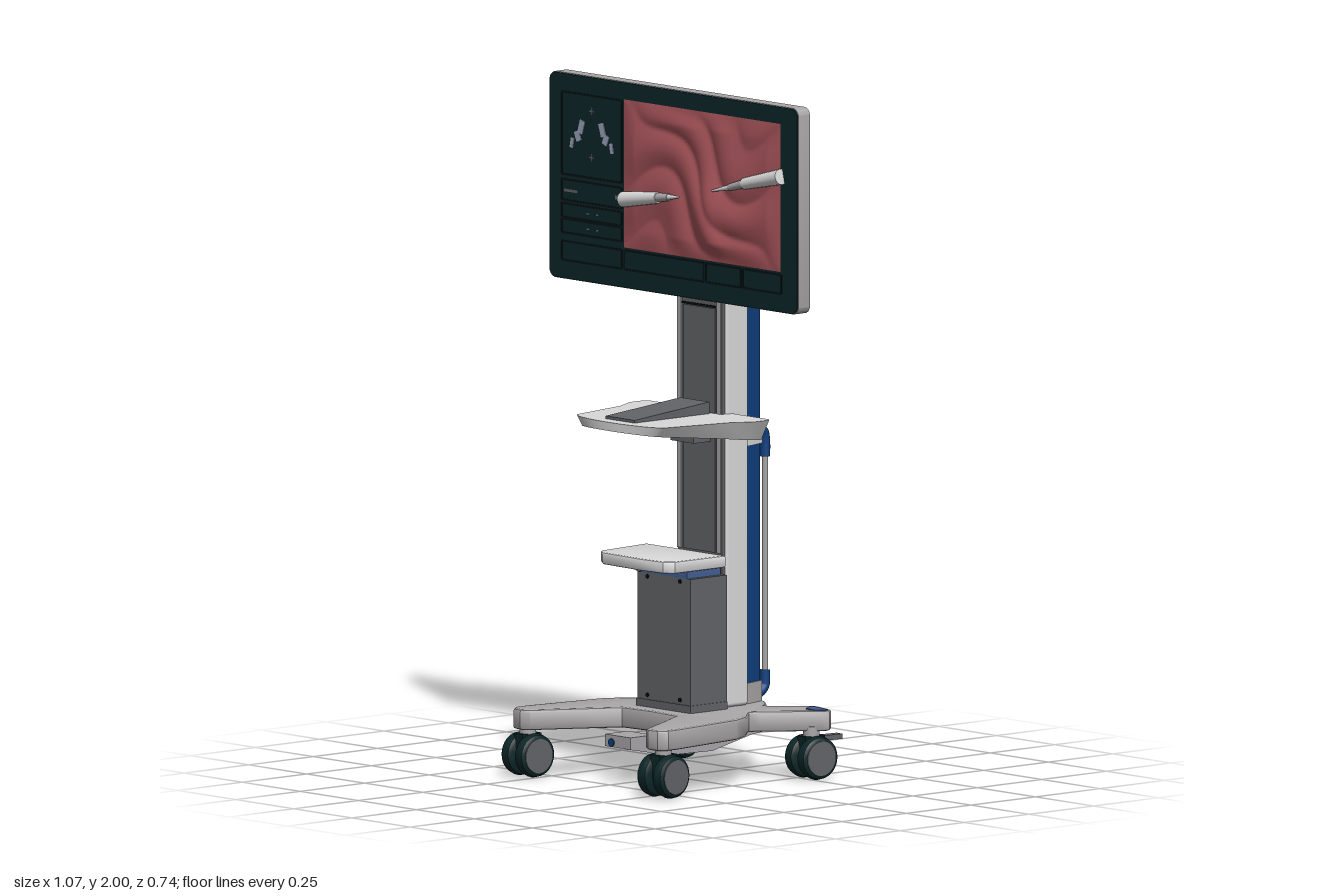
import * as THREE from 'three';
import { toCreasedNormals } from 'three/addons/utils/BufferGeometryUtils.js';
import { RoundedBoxGeometry } from 'three/addons/geometries/RoundedBoxGeometry.js';

const mat = (name, color) => {
  const m = new THREE.MeshStandardMaterial({ color });
  m.name = name;
  return m;
};
const M = {
  light: mat('light grey', 0xdad9da), mid: mat('warm grey', 0xaaa7a9), dark: mat('graphite', 0x626468),
  black: mat('dark teal', 0x0c2628), line: mat('near black', 0x051113), red: mat('tissue red', 0xa9555b),
  blue: mat('deep blue', 0x0f4080), slate: mat('slate blue', 0x445f94), icon: mat('icon grey', 0x9aa2b8),
};

export function createModel() {
  const root = new THREE.Group();
  root.name = 'monitorCart';
  const add = (name, geo, m, x = 0, y = 0, z = 0, parent = root) => {
    const mesh = new THREE.Mesh(geo, m);
    mesh.name = name;
    mesh.position.set(x, y, z);
    parent.add(mesh);
    return mesh;
  };
  // box given by its limits
  const box = (name, m, x0, x1, y0, y1, z0, z1, parent) =>
    add(name, new THREE.BoxGeometry(x1 - x0, y1 - y0, z1 - z0), m, (x0 + x1) / 2, (y0 + y1) / 2, (z0 + z1) / 2, parent);
  const poly = (pts) => new THREE.Shape(pts.map(([a, b]) => new THREE.Vector2(a, b)));
  // plan outline in (x, z), raised from y0 to y1
  const slab = (pts, y0, y1, bevel = 0) => {
    const g = new THREE.ExtrudeGeometry(poly(pts.map(([x, z]) => [x, -z])), {
      depth: y1 - y0 - 2 * bevel, bevelEnabled: bevel > 0, bevelThickness: bevel, bevelSize: bevel, bevelOffset: -bevel, bevelSegments: 2 });
    return toCreasedNormals(g.rotateX(-Math.PI / 2).translate(0, y0 + bevel, 0), 0.5);
  };
  // side outline in (z, y), centred across x
  const sideSlab = (pts, w) => new THREE.ExtrudeGeometry(poly(pts), { depth: w, bevelEnabled: false })
    .translate(0, 0, -w / 2).rotateY(-Math.PI / 2);
  const mirror = (pts) => [...pts, ...pts.slice().reverse().filter(([x]) => x !== 0).map(([x, z]) => [-x, z])];
  const tube = (name, m, r, pts) => add(name, new THREE.TubeGeometry(
    new THREE.CatmullRomCurve3(pts.map(([z, y]) => new THREE.Vector3(0, y, z)), false, 'catmullrom', 0.35), 40, r, 12), m);

  // ---- base
  const half = [[0, 0.09], [0.115, 0.1], [0.18, 0.21], [0.25, 0.335], [0.275, 0.35], [0.31, 0.345], [0.33, 0.32], [0.33, 0.28],
    [0.295, 0.02], [0.265, -0.04], [0.2, -0.11], [0.215, -0.14], [0.325, -0.275], [0.335, -0.3], [0.32, -0.32],
    [0.25, -0.337], [0.23, -0.33], [0.145, -0.235], [0.125, -0.235], [0.085, -0.28], [0.06, -0.297], [0, -0.305]];
  add('base', slab(mirror(half), 0.14, 0.2, 0.008), M.mid);
  add('footBeam', sideSlab([[0.22, 0.14], [0.22, 0.105], [0.07, 0.075], [-0.1, 0.072], [-0.25, 0.105], [-0.3, 0.11],
    [-0.3, 0.125], [-0.24, 0.15], [-0.1, 0.118], [0.07, 0.118], [0.13, 0.14]], 0.11), M.mid);
  add('beamButton', new THREE.CylinderGeometry(0.012, 0.012, 0.006, 16).rotateX(Math.PI / 2), M.blue, -0.025, 0.118, 0.221);

  // ---- casters with twin wheels
  const wheelProfile = [[0, -0.021], [0.05, -0.021], [0.06, -0.015], [0.064, 0], [0.06, 0.015], [0.05, 0.021], [0, 0.021]]
    .map(([r, h]) => new THREE.Vector2(r, h));
  const wheelGeo = toCreasedNormals(new THREE.LatheGeometry(wheelProfile, 32), 0.6).rotateZ(Math.PI / 2);
  for (const s of [-1, 1]) for (const [z, rear] of [[0.305, 0], [-0.268, 1]]) {
    const c = new THREE.Group();
    c.name = rear ? 'rearCaster' : 'frontCaster';
    c.position.set(s * 0.292, 0.064, z);
    c.rotation.y = s * (rear ? -0.12 : 0.06);
    root.add(c);
    for (const k of [-1, 1]) {
      add('wheel', wheelGeo, M.black, k * 0.031, 0, 0, c);
      add('hub', new THREE.CylinderGeometry(0.05, 0.05, 0.006, 28).rotateZ(Math.PI / 2), M.dark, k * 0.051, 0, 0, c);
    }
    box('casterFork', M.black, -0.02, 0.02, -0.01, 0.062, -0.035, 0.035, c);
    add('casterStem', new THREE.CylinderGeometry(0.024, 0.024, 0.05, 20), M.mid, 0, 0.065, 0, c);
    if (rear) {
      box('brakePedal', M.dark, -0.014, 0.014, 0.045, 0.06, -0.1, -0.03, c);
      add('tipPad', slab([[-0.035, -0.035], [0.035, -0.035], [0.04, -0.02], [0.02, 0.005], [-0.02, 0.005], [-0.04, -0.02]], 0.136, 0.139),
        M.slate, 0, 0, 0, c);
    }
  }

  // ---- pedestal and column
  box('pedestal', M.dark, -0.115, 0.115, 0.2, 0.59, -0.1, 0.04);
  box('pedestalFoot', M.dark, -0.118, 0.118, 0.2, 0.222, -0.1, 0.043);
  for (const x of [-0.07, 0.07]) for (const y of [0.235, 0.58])
    add('screw', new THREE.CylinderGeometry(0.006, 0.006, 0.004, 10).rotateX(Math.PI / 2), M.line, x, y, 0.042);
  add('column', new RoundedBoxGeometry(0.2, 1.25, 0.09, 3, 0.012), M.light, 0, 0.825, -0.156);
  box('columnRail', M.dark, -0.095, 0.095, 0.58, 1.4, -0.112, -0.1);
  for (const s of [-1, 1]) box('railEdge', M.mid, s * 0.085 - 0.008, s * 0.085 + 0.008, 0.65, 1.39, -0.1, -0.095);
  box('railPanel', M.dark, -0.068, 0.068, 0.65, 1.36, -0.1, -0.096);
  box('railTopGap', M.line, -0.075, 0.075, 1.362, 1.368, -0.1, -0.096);

  // ---- upper shelf, bottom drawn in and deeper toward the back
  const arc = [];
  for (let i = 0; i <= 10; i++) arc.push([0.19 * Math.sin(i * Math.PI / 20), 0.2 + 0.05 * Math.cos(i * Math.PI / 20)]);
  let shelf = slab(mirror([...arc, [0.232, 0], [0.27, -0.07], [0.27, -0.125], [0.255, -0.135], [0, -0.135]]), 0, 1);
  const p = shelf.attributes.position;
  for (let i = 0; i < p.count; i++) {
    const z = p.getZ(i), low = p.getY(i) < 0.5;
    p.setY(i, low ? 1.03 - (0.25 - z) * 0.1 : 1.055);
    if (low) p.setX(i, p.getX(i) * 0.87);
  }
  shelf.computeVertexNormals();
  add('upperShelf', toCreasedNormals(shelf, 0.5), M.light);
  add('shelfPad', sideSlab([[0.21, 1.056], [0.21, 1.064], [-0.08, 1.09], [-0.08, 1.056]], 0.125), M.dark);
  box('shelfBracket', M.dark, -0.05, 0.05, 0.972, 1.0, -0.1, -0.03);
  // ---- lower shelf
  add('lowerShelf', slab([[-0.225, -0.095], [0.115, -0.095], [0.115, 0.1], [0.09, 0.125], [0, 0.132], [-0.17, 0.125],
    [-0.205, 0.1]], 0.612, 0.647, 0.006), M.light);
  box('lowerShelfMount', M.slate, -0.1, 0.1, 0.59, 0.613, -0.09, 0.04);
  const strut = box('lowerShelfStrut', M.dark, -0.06, 0.06, -0.006, 0.006, -0.05, 0.03);
  strut.position.set(-0.155, 0.6, -0.02);
  strut.rotation.z = -0.4;

  // ---- rear power pack
  const pack = (k) => mirror([[0, -0.2], [0.075 * k, -0.2], [0.072 * k, -0.225], [0.055 * k, -0.283 - (k - 1) * 0.1], [0, -0.283 - (k - 1) * 0.1]]);
  add('powerPack', slab(pack(1), 0.26, 1.38), M.blue);
  add('packBand', slab(pack(1.06), 0.95, 1.02), M.light);
  add('packCap', slab(pack(0.92), 1.38, 1.4, 0.004), M.mid);
  add('packFoot', slab(pack(1.05), 0.2, 0.26), M.mid);
  box('cordBracket', M.mid, -0.025, 0.025, 0.97, 1.005, -0.31, -0.28);
  // ---- cords
  tube('monitorCable', M.blue, 0.011, [[-0.14, 1.55], [-0.2, 1.555], [-0.235, 1.545], [-0.252, 1.51], [-0.255, 1.42]]);
  tube('cordTop', M.blue, 0.015, [[-0.28, 0.985], [-0.325, 0.985], [-0.347, 0.97], [-0.352, 0.94], [-0.352, 0.9]]);
  tube('cordRun', M.mid, 0.009, [[-0.352, 0.91], [-0.352, 0.6], [-0.352, 0.27]]);
  tube('cordBottom', M.blue, 0.015, [[-0.352, 0.28], [-0.35, 0.235], [-0.33, 0.215], [-0.29, 0.215]]);
  tube('cordTail', M.blue, 0.013, [[-0.3, 0.25], [-0.315, 0.2], [-0.318, 0.15], [-0.31, 0.115]]);

  // ---- monitor
  const rounded = (w, h, r) => {
    const s = new THREE.Shape();
    [[1, -1, -90], [1, 1, 0], [-1, 1, 90], [-1, -1, 180]].forEach(([a, b, d]) =>
      s.absarc(a * (w / 2 - r), b * (h / 2 - r), r, d * Math.PI / 180, (d + 90) * Math.PI / 180, false));
    return s;
  };
  const plate = (w, h, r, d) => toCreasedNormals(
    new THREE.ExtrudeGeometry(rounded(w, h, r), { depth: d, bevelEnabled: false, curveSegments: 8 }), 0.5);
  add('monitorShell', plate(1.07, 0.6, 0.025, 0.045), M.mid, 0, 1.7, -0.045);
  add('monitorGlass', plate(1.066, 0.596, 0.024, 0.004), M.black, 0, 1.7, 0);
  for (const s of [-1, 1]) for (const [x, y] of [[0.46, 1.72], [0.43, 1.46], [0.2, 1.46], [0.1, 1.94], [0.3, 1.94]])
    add('rearScrew', new THREE.CylinderGeometry(0.008, 0.008, 0.008, 12).rotateX(Math.PI / 2), M.dark, s * x, y, -0.046);

  // ---- rear housing
  const housing = (k) => mirror([[0, -0.04], [0.395, -0.04], [0.375, -0.085], [0.345, -0.112], [0.25, -0.132], [0.13, -0.15], [0, -0.157]]
    .map(([x, z]) => [x * k, -0.04 + (z + 0.04) * k]));
  add('rearHousing', slab(housing(1), 1.53, 1.87), M.slate);
  add('housingRim', slab(housing(1.015), 1.865, 1.89, 0.004), M.mid);
  add('housingLid', slab(mirror([[0, -0.062], [0.37, -0.062], [0.38, -0.075], [0.36, -0.095], [0.2, -0.125], [0, -0.132]]), 1.889, 1.895), M.slate);
  for (const x of [-0.14, 0.14]) box('lidVent', M.dark, x - 0.015, x + 0.015, 1.893, 1.898, -0.1, -0.075);
  box('housingSeam', M.dark, -0.002, 0.002, 1.535, 1.865, -0.159, -0.15);
  box('neckMount', M.dark, -0.075, 0.075, 1.38, 1.6, -0.142, -0.09);

  // ---- screen interface
  const ui = (name, m, x0, x1, y0, y1, z = 0.0055) => box(name, m, x0, x1, y0, y1, 0.003, z);
  const frame = (x0, x1, y0, y1) => {
    const t = 0.003;
    ui('panelLine', M.line, x0, x1, y0 - t, y0 + t);
    ui('panelLine', M.line, x0, x1, y1 - t, y1 + t);
    ui('panelLine', M.line, x0 - t, x0 + t, y0, y1);
    ui('panelLine', M.line, x1 - t, x1 + t, y0, y1);
  };
  frame(-0.48, -0.222, 1.705, 1.945);
  frame(-0.48, -0.222, 1.63, 1.69);
  for (const y of [1.535, 1.58]) frame(-0.48, -0.222, y, y + 0.04);
  for (const [a, b] of [[-0.48, -0.222], [-0.21, 0.13], [0.14, 0.29], [0.3, 0.465]]) frame(a, b, 1.455, 1.51);
  for (const s of [-1, 1]) {
    [[0.045, 1.85, 0.022, 0.04, 0.3], [0.06, 1.822, 0.022, 0.03, -0.4], [0.085, 1.8, 0.014, 0.03, 0.2]].forEach(([x, y, w, h, r]) => {
      add('armIcon', new THREE.BoxGeometry(w, h, 0.003), M.icon, -0.35 + s * x, y, 0.0045).rotation.z = s * r;
    });
    add('markIcon', new THREE.BoxGeometry(0.022, 0.004, 0.003), M.dark, -0.35, s > 0 ? 1.9 : 1.765, 0.0045);
    add('markIcon', new THREE.BoxGeometry(0.004, 0.022, 0.003), M.dark, -0.35, s > 0 ? 1.9 : 1.765, 0.0045);
    for (const y of [1.555, 1.6]) ui('label', M.dark, -0.352 + s * 0.02, -0.34 + s * 0.02, y - 0.002, y + 0.002);
  }
  ui('label', M.dark, -0.47, -0.41, 1.655, 1.663);
  ui('label', M.dark, -0.25, -0.236, 1.655, 1.667);

  // ---- folded tissue relief
  const tissue = new THREE.PlaneGeometry(0.675, 0.431, 90, 60);
  const tp = tissue.attributes.position;
  const hump = (x, y, cx, cy, a, b, h) => h * Math.exp(-(((x - cx) / a) ** 2) - ((y - cy) / b) ** 2);
  for (let i = 0; i < tp.count; i++) {
    const x = tp.getX(i), y = tp.getY(i);
    const edge = Math.min(1, (0.3375 - Math.abs(x)) / 0.05, (0.2155 - Math.abs(y)) / 0.05);
    const warp = 17 * y + 9 * x + 1.6 * Math.sin(9 * x + 4 * y) + 1.2 * Math.sin(13 * x - 9 * y);
    const folds = 0.011 * Math.abs(Math.sin(warp));
    tp.setZ(i, 0.006 + edge * (folds + hump(x, y, 0.03 + (y + 0.08) * -0.3, -0.08, 0.045, 0.1, 0.017) + hump(x, y, 0.09, -0.07, 0.1, 0.09, 0.006)));
  }
  tissue.computeVertexNormals();
  add('tissueImage', tissue, M.red, 0.1275, 1.7345, 0);

  // ---- instruments on the screen, shaft then narrow tip
  const rod = (name, m, a, b, r0, r1) => {
    const A = new THREE.Vector3(...a), B = new THREE.Vector3(...b), d = B.clone().sub(A);
    const mesh = add(name, new THREE.CylinderGeometry(r1, r0, d.length(), 16), m, ...A.clone().add(B).multiplyScalar(0.5).toArray());
    mesh.quaternion.setFromUnitVectors(new THREE.Vector3(0, 1, 0), d.normalize());
  };
  rod('leftInstrumentShaft', M.light, [-0.205, 1.66, 0.014], [-0.05, 1.682, 0.016], 0.023, 0.017);
  rod('leftInstrumentWrist', M.mid, [-0.05, 1.682, 0.018], [0, 1.689, 0.02], 0.013, 0.011);
  rod('leftInstrumentTip', M.light, [0, 1.689, 0.022], [0.045, 1.694, 0.024], 0.008, 0.003);
  rod('rightInstrumentShaft', M.light, [0.475, 1.798, 0.014], [0.32, 1.762, 0.016], 0.023, 0.017);
  rod('rightInstrumentWrist', M.mid, [0.32, 1.762, 0.018], [0.26, 1.745, 0.02], 0.013, 0.01);
  rod('rightInstrumentTip', M.light, [0.26, 1.745, 0.022], [0.19, 1.728, 0.024], 0.008, 0.003);
  return root;
}
